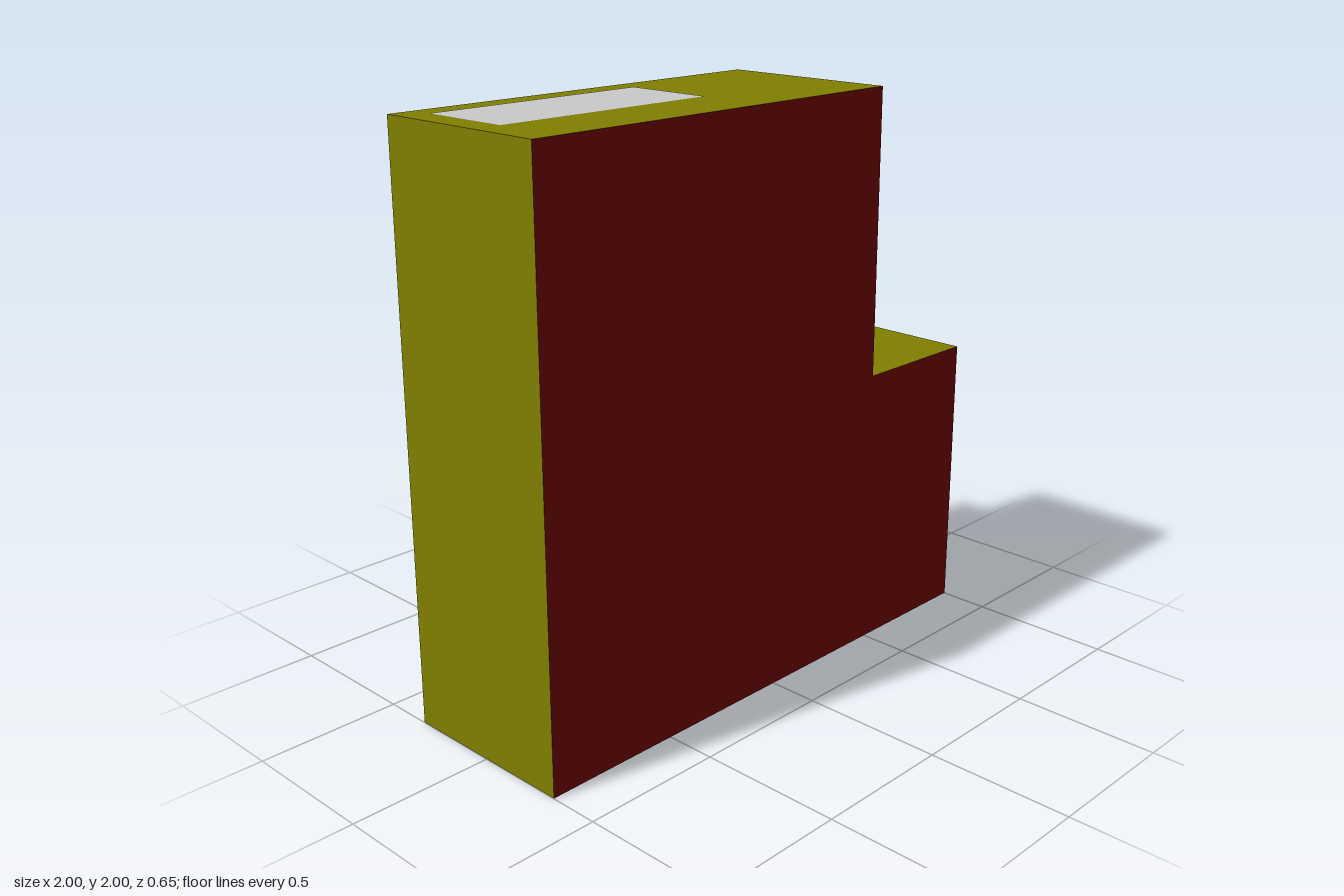
import * as THREE from 'three';

const HALF_DEPTH = 0.325;
const LIFT = 0.001; // keeps the inlaid panels just clear of the walls

const paint = (color) => new THREE.MeshStandardMaterial({ color });
const red = paint(0x800000);
const olive = paint(0x808000);
const grey = paint(0x808080);
const silver = paint(0xc0c4c4);

// Stepped outline, counter-clockwise seen from the front
const outline = [[-1, 0], [1, 0], [1, 1], [0.5, 1], [0.5, 2], [-1, 2]]
  .map(([x, y]) => new THREE.Vector2(x, y));

function add(group, name, geometry, material) {
  const mesh = new THREE.Mesh(geometry, material);
  mesh.name = name;
  group.add(mesh);
  return mesh;
}

// Flat panel centred at (x, y, z), turned to face along the given axis
function addPanel(group, name, size, position, rotation, material) {
  const mesh = add(group, name, new THREE.PlaneGeometry(...size), material);
  mesh.position.set(...position);
  mesh.rotation.set(...rotation);
}

export function createModel() {
  const model = new THREE.Group();
  model.name = 'steppedBlock';

  // Front and back faces
  add(model, 'frontFace', new THREE.ShapeGeometry(new THREE.Shape(outline)), red)
    .position.z = HALF_DEPTH;
  const mirrored = outline.map((p) => new THREE.Vector2(-p.x, p.y));
  const back = add(model, 'backFace', new THREE.ShapeGeometry(new THREE.Shape(mirrored)), grey);
  back.rotation.y = Math.PI;
  back.position.z = -HALF_DEPTH;

  // Edge walls, one for each side of the outline
  const walls = new THREE.Group();
  walls.name = 'edgeWalls';
  outline.forEach((a, i) => {
    const b = outline[(i + 1) % outline.length];
    const wall = new THREE.PlaneGeometry(a.distanceTo(b), 2 * HALF_DEPTH);
    wall.rotateX(Math.PI / 2); // facing down, length along x
    wall.rotateZ(Math.atan2(b.y - a.y, b.x - a.x));
    wall.translate((a.x + b.x) / 2, (a.y + b.y) / 2, 0);
    add(walls, 'edgeWall', wall, olive);
  });
  model.add(walls);

  // Inlaid panels on the top, underside and left edge
  const q = Math.PI / 2;
  const z = -0.08;
  addPanel(model, 'topPanel', [0.82, 0.325], [-0.5, 2 + LIFT, z], [-q, 0, 0], silver);
  addPanel(model, 'bottomPanel', [0.82, 0.325], [-0.5, -LIFT, z], [q, 0, 0], silver);
  addPanel(model, 'sidePanel', [0.325, 0.82], [1 + LIFT, 0.49, z], [0, q, 0], silver);

  return model;
}
